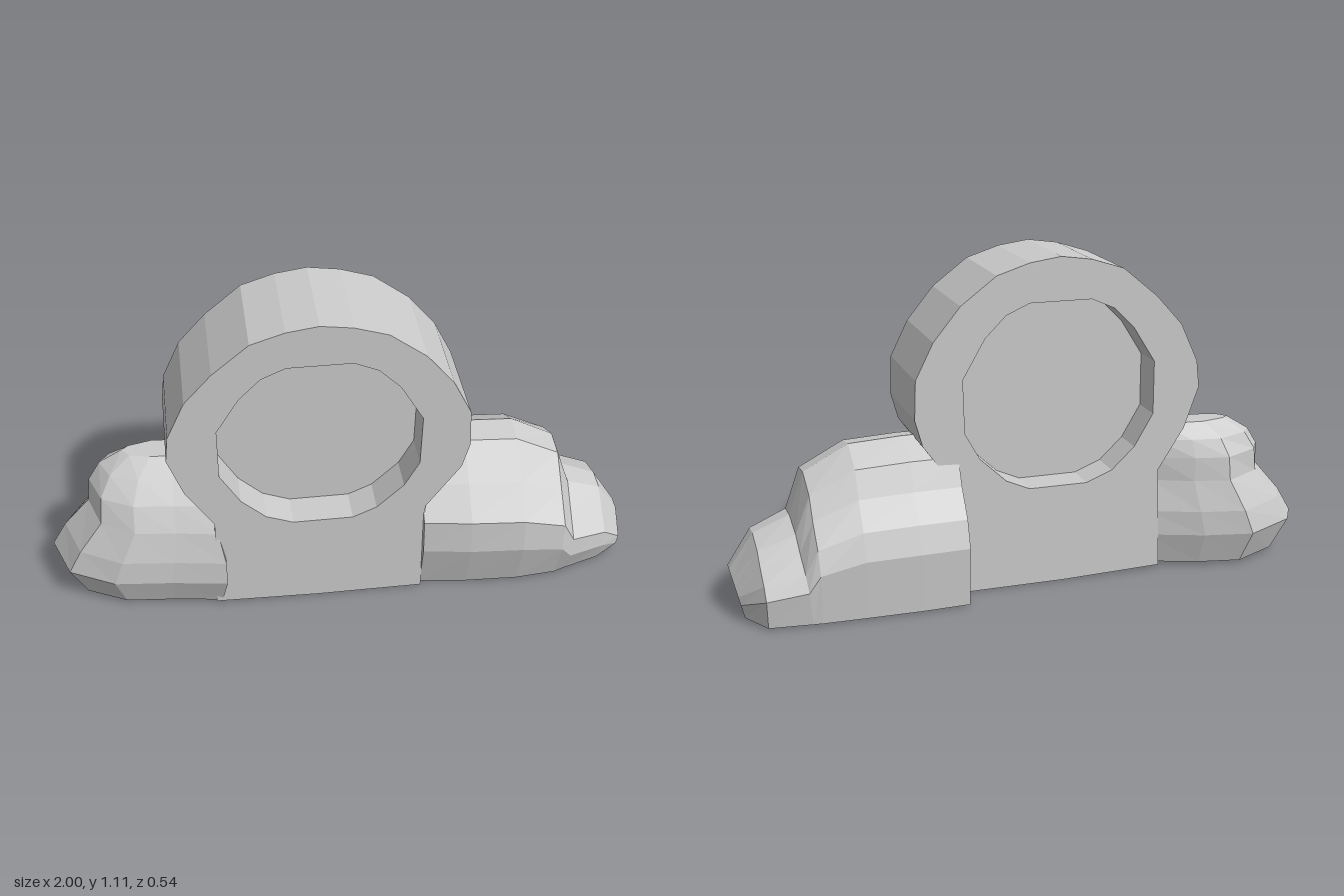
import * as THREE from 'three';

const material = new THREE.MeshStandardMaterial({ color: 0xcccccc, flatShading: true, side: THREE.DoubleSide });

function addMesh(group, geometry, name) {
  const mesh = new THREE.Mesh(geometry, material);
  mesh.name = name;
  group.add(mesh);
}

// Joins equal-length rings of points and closes both ends, faces outward.
function loft(rings) {
  const triangles = [];
  const n = rings[0].length;
  for (let r = 0; r < rings.length - 1; r++) {
    for (let i = 0; i < n; i++) {
      const j = (i + 1) % n;
      const [a, b, c, d] = [rings[r][i], rings[r][j], rings[r + 1][j], rings[r + 1][i]];
      triangles.push([a, b, c], [a, c, d]);
    }
  }
  const cap = (ring, flip) => {
    const centre = ring.reduce((s, p) => s.add(p), new THREE.Vector3()).divideScalar(n);
    ring.forEach((p, i) => {
      const q = ring[(i + 1) % n];
      triangles.push(flip ? [centre, q, p] : [centre, p, q]);
    });
  };
  cap(rings[0], true);
  cap(rings[rings.length - 1], false);
  const volume = triangles.reduce((s, [a, b, c]) => s + a.dot(b.clone().cross(c)), 0);
  if (volume < 0) triangles.forEach((t) => t.reverse());
  const geometry = new THREE.BufferGeometry().setFromPoints(triangles.flat());
  geometry.computeVertexNormals();
  return geometry;
}

function extrude(shape, back, front) {
  const geometry = new THREE.ExtrudeGeometry(shape, { depth: front - back, bevelEnabled: false });
  return geometry.translate(0, 0, back);
}

const toPoints = (list) => list.map(([x, y]) => new THREE.Vector2(x, y));

export function createModel() {
  const group = new THREE.Group();

  // Upright ring standing on a plinth, with a dished recess on both faces
  const outline = toPoints([
    [-0.45, 0.01], [-0.1, 0.0], [0.26, 0.0], [0.265, 0.36], [0.38, 0.52], [0.405, 0.61], [0.4, 0.74],
    [0.34, 0.86], [0.25, 0.97], [0.13, 1.06], [0.02, 1.095], [-0.085, 1.11], [-0.19, 1.095],
    [-0.3, 1.06], [-0.42, 0.96], [-0.51, 0.86], [-0.57, 0.73], [-0.58, 0.64], [-0.53, 0.5], [-0.44, 0.36],
  ]);
  const opening = toPoints([
    [-0.18, 0.34], [0.02, 0.34], [0.1, 0.375], [0.19, 0.46], [0.24, 0.55], [0.245, 0.73], [0.17, 0.86],
    [0.1, 0.93], [0.02, 0.965], [-0.19, 0.965], [-0.27, 0.93], [-0.34, 0.86], [-0.415, 0.74],
    [-0.415, 0.56], [-0.35, 0.45], [-0.27, 0.375],
  ]);
  const frame = new THREE.Shape(outline);
  frame.holes.push(new THREE.Path(opening));
  addMesh(group, extrude(frame, -0.145, 0.2), 'ringAndPlinth');
  addMesh(group, extrude(new THREE.Shape(opening), -0.03, 0.08), 'recessPanel');

  // Large rock: one z, y profile stretched along x
  const profile = [
    [0.81, 0], [1, 0.34], [0.97, 0.57], [0.62, 0.76], [0.23, 0.97], [-0.12, 1],
    [-0.5, 0.89], [-0.65, 0.72], [-0.89, 0.55], [-1, 0.38], [-0.95, 0],
  ];
  // x at the foot, x at the crest, height, front reach, back reach
  const stations = [
    [0.26, 0.26, 0.53, 0.23, 0.27], [0.42, 0.42, 0.53, 0.255, 0.275], [0.6, 0.6, 0.52, 0.265, 0.272],
    [0.74, 0.75, 0.44, 0.25, 0.268], [0.77, 0.8, 0.3, 0.235, 0.265], [0.91, 0.92, 0.25, 0.18, 0.25],
    [0.97, 1.0, 0.13, 0.13, 0.14],
  ];
  const rockRings = stations.map(([foot, crest, height, front, back]) =>
    profile.map(([z, y]) => new THREE.Vector3(
      foot + (crest - foot) * y, 0.005 + (height - 0.005) * y, z * (z > 0 ? front : back))));
  addMesh(group, loft(rockRings), 'largeRock');

  // Small rock: one plan outline stacked in shrinking layers
  const plan = [
    [1, 1], [0.68, 0.88], [0.36, 0.8], [0.1, 0.46], [0, -0.22], [0.09, -0.6],
    [0.4, -1], [0.68, -0.85], [1, -0.55],
  ];
  // height, tip x, inner x, half width, z centre
  const layers = [
    [0.01, -0.94, -0.43, 0.195, 0], [0.12, -1.0, -0.41, 0.235, 0], [0.205, -0.95, -0.41, 0.228, 0],
    [0.31, -0.86, -0.43, 0.195, 0], [0.39, -0.85, -0.44, 0.165, -0.02], [0.45, -0.81, -0.45, 0.115, -0.04],
    [0.5, -0.73, -0.47, 0.05, -0.05],
  ];
  const layerRings = layers.map(([y, tip, inner, half, zc]) =>
    plan.map(([u, w]) => new THREE.Vector3(tip + (inner - tip) * u, y, zc + half * w)));
  addMesh(group, loft(layerRings), 'smallRock');

  return group;
}
